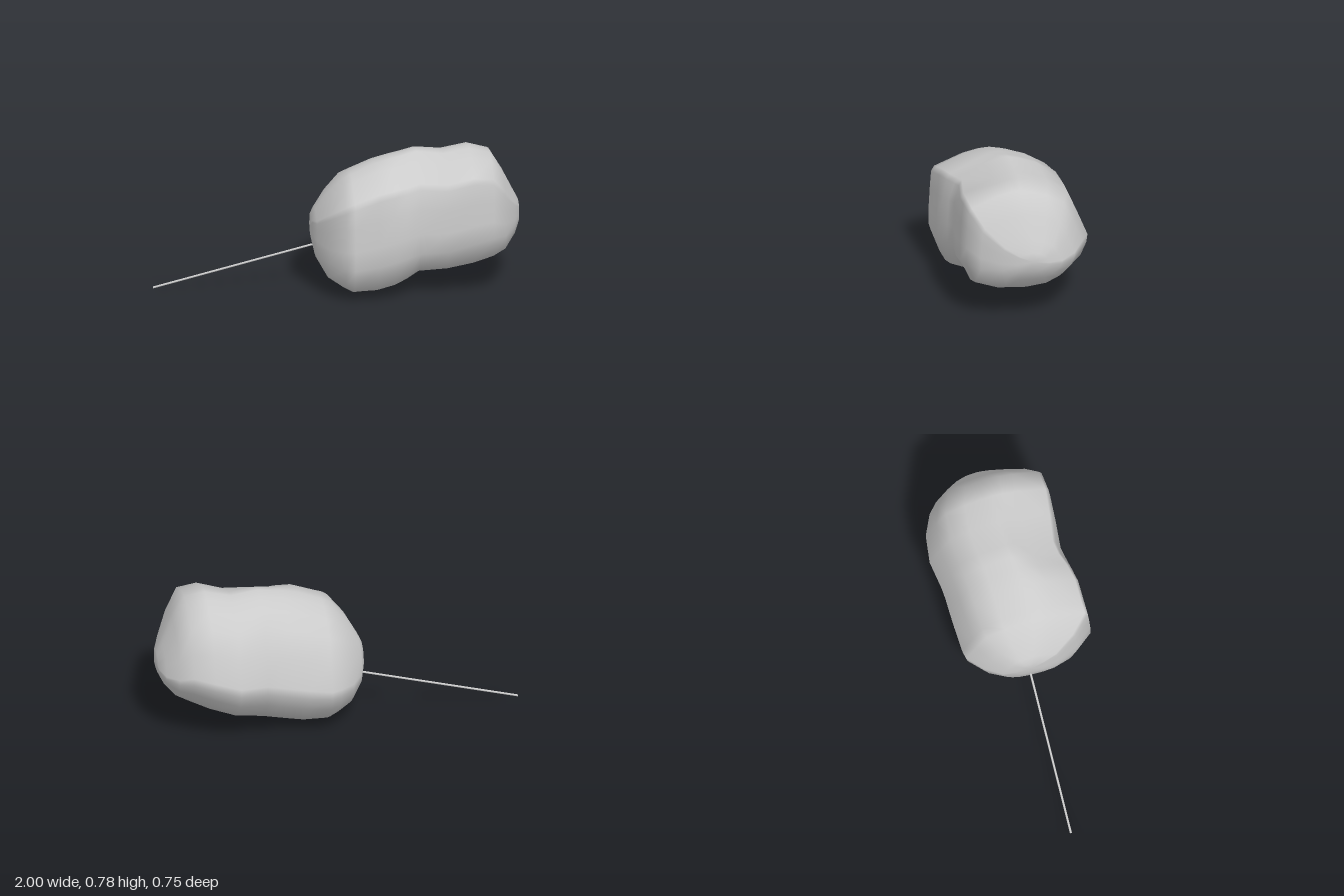
import * as THREE from 'three';

const material = new THREE.MeshStandardMaterial({ color: 0xcccccc });

// Stations along the body: x, bottom y, top y, back z, front z
const stations = [
  [-0.14, 0.27, 0.41, -0.08, 0.08],
  [-0.12, 0.18, 0.45, -0.15, 0.16],
  [-0.06, 0.08, 0.55, -0.24, 0.28],
  [0.02, 0.035, 0.64, -0.32, 0.375],
  [0.07, 0.004, 0.665, -0.33, 0.373],
  [0.2, 0.006, 0.72, -0.34, 0.368],
  [0.29, 0.025, 0.742, -0.345, 0.357],
  [0.36, 0.042, 0.755, -0.348, 0.338],
  [0.43, 0.06, 0.77, -0.355, 0.322],
  [0.58, 0.083, 0.75, -0.38, 0.335],
  [0.72, 0.13, 0.78, -0.365, 0.34],
  [0.83, 0.175, 0.755, -0.315, 0.325],
  [0.9, 0.21, 0.635, -0.26, 0.26],
  [0.96, 0.28, 0.51, -0.18, 0.15],
  [0.99, 0.34, 0.45, -0.1, 0.07],
];

// Cross-section from top over the front, bottom and back: (z, y) in -1..1
const section = [
  [0.08, 1], [0.22, 0.99], [0.46, 0.93], [0.91, 0.72], [0.96, 0.62], [0.98, 0.3],
  [1, -0.1], [1, -0.42], [0.86, -0.82], [0.47, -0.97], [0, -1], [-0.39, -0.94],
  [-0.67, -0.77], [-0.89, -0.52], [-0.98, -0.3], [-1, -0.15], [-0.84, 0.28],
  [-0.68, 0.68], [-0.38, 0.86], [-0.1, 0.96],
];

// Dent with a steep wall on its -x side and a long slope on its +x side
const dent = (x, centre, depth) =>
  depth * Math.exp(-(((x - centre) / (x < centre ? 0.08 : 0.24)) ** 2));

// Closed loft through the stations, dented along the two front corners
function bodyGeometry() {
  const positions = [];
  const index = [];
  const n = section.length;
  for (const [x, y0, y1, z0, z1] of stations) {
    for (const [u, v] of section) {
      let k = 1;
      if (u > 0.4 && v > 0.5) k -= dent(x, 0.35, 0.07);
      if (u > 0.4 && v < -0.5) k -= dent(x, 0.44, 0.09);
      positions.push(
        x,
        (y0 + y1) / 2 + (v * k * (y1 - y0)) / 2,
        (z0 + z1) / 2 + (u * k * (z1 - z0)) / 2,
      );
    }
  }
  const last = (stations.length - 1) * n;
  const startTip = positions.length / 3;
  positions.push(-0.143, 0.34, 0, 0.997, 0.4, -0.01);
  for (let j = 0; j < n; j++) {
    const next = (j + 1) % n;
    for (let i = 0; i < last; i += n) {
      const a = i + j, b = i + next;
      index.push(a, b, a + n, b, b + n, a + n);
    }
    index.push(startTip, next, j, startTip + 1, last + j, last + next);
  }
  const geometry = new THREE.BufferGeometry();
  geometry.setAttribute('position', new THREE.Float32BufferAttribute(positions, 3));
  geometry.setIndex(index);
  geometry.computeVertexNormals();
  return geometry;
}

export function createModel() {
  const group = new THREE.Group();
  group.name = 'marshmallowOnStick';

  const body = new THREE.Mesh(bodyGeometry(), material);
  body.name = 'marshmallow';
  group.add(body);

  // Thin skewer running into the end of the body
  const from = new THREE.Vector3(-0.999, 0.01, 0.002);
  const to = new THREE.Vector3(-0.08, 0.242, 0.002);
  const axis = to.clone().sub(from);
  const stick = new THREE.Mesh(new THREE.CylinderGeometry(0.006, 0.006, axis.length(), 8), material);
  stick.name = 'stick';
  stick.position.copy(from).add(to).multiplyScalar(0.5);
  stick.quaternion.setFromUnitVectors(new THREE.Vector3(0, 1, 0), axis.normalize());
  group.add(stick);

  return group;
}
